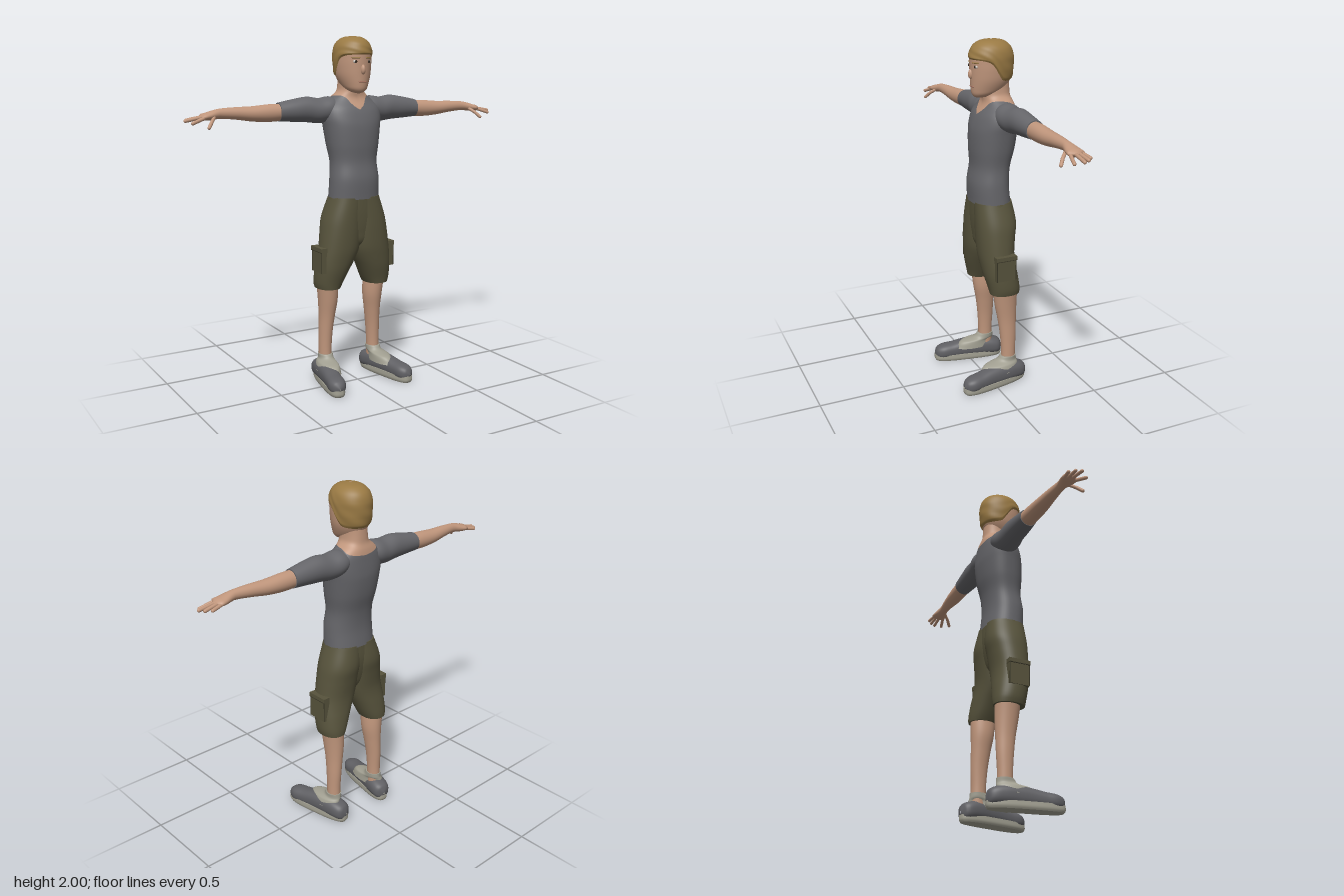
import * as THREE from 'three';

const mat = (name, color) => {
  const m = new THREE.MeshStandardMaterial({ color });
  m.name = name;
  return m;
};

// Smooth lookup in a table of rows [key, value, value...]
function sample(rows, k) {
  let i = 0;
  while (i < rows.length - 2 && k > rows[i + 1][0]) i++;
  const p = rows[i], q = rows[i + 1], h = q[0] - p[0];
  const a = rows[Math.max(i - 1, 0)], b = rows[Math.min(i + 2, rows.length - 1)];
  const s = THREE.MathUtils.clamp((k - p[0]) / h, 0, 1), s2 = s * s, s3 = s2 * s;
  return p.slice(1).map((v, n) => {
    const c = n + 1;
    const m0 = (q[c] - a[c]) / (q[0] - a[0]) * h, m1 = (b[c] - p[c]) / (b[0] - p[0]) * h;
    return (2 * s3 - 3 * s2 + 1) * v + (s3 - 2 * s2 + s) * m0 + (3 * s2 - 2 * s3) * q[c] + (s3 - s2) * m1;
  });
}

// Skin over rows [y, xMin, xMax, zMin, zMax]; lo and hi may depend on the angle from the front (0..PI)
function loft(rows, { lo, hi, n = 2, levels = 28, segs = 48, cap = false, puff } = {}) {
  const at = (f, a, d) => (f === undefined ? d : typeof f === 'function' ? f(a) : f);
  const rings = [];
  for (let j = 0; j <= levels; j++) rings.push([j / levels, 1]);
  if (cap) { rings.unshift([0, 0], [0, 1]); rings.push([1, 1], [1, 0]); }
  const pos = [], idx = [];
  const pow = v => Math.sign(v) * Math.abs(v) ** (2 / n);
  rings.forEach(([s, k], j) => {
    for (let i = 0; i < segs; i++) {
      const t = i / segs * Math.PI * 2, a = Math.min(t, 2 * Math.PI - t);
      const y0 = at(lo, a, rows[0][0]), y1 = at(hi, a, rows[rows.length - 1][0]);
      const y = y0 + (y1 - y0) * s;
      const [xa, xb, za, zb] = sample(rows, y);
      const d = puff ? puff(t, s) : 0;
      pos.push((xa + xb) / 2 + k * ((xb - xa) / 2 + d) * pow(Math.sin(t)), y,
        (za + zb) / 2 + k * ((zb - za) / 2 + d) * pow(Math.cos(t)));
      if (j < rings.length - 1) {
        const e = j * segs + i, f = j * segs + (i + 1) % segs;
        idx.push(e, f, f + segs, e, f + segs, e + segs);
      }
    }
  });
  const g = new THREE.BufferGeometry();
  g.setAttribute('position', new THREE.Float32BufferAttribute(pos, 3));
  g.setIndex(idx);
  g.computeVertexNormals();
  return g;
}

// Lofts running along x (rows [x, yMin, yMax, zMin, zMax]) and along z (rows [z, xMin, xMax, yMin, yMax])
const loftX = (rows, o) => loft(rows.map(([x, a, b, c, d]) => [x, -b, -a, c, d]), o).rotateZ(-Math.PI / 2);
const loftZ = (rows, o) => loft(rows.map(([z, a, b, c, d]) => [z, a, b, -d, -c]), o).rotateX(Math.PI / 2);

// Capsule between two points
function rod(a, b, r) {
  const p = new THREE.Vector3(...a), q = new THREE.Vector3(...b), d = q.clone().sub(p);
  const g = new THREE.CapsuleGeometry(r, d.length(), 5, 12);
  g.applyQuaternion(new THREE.Quaternion().setFromUnitVectors(new THREE.Vector3(0, 1, 0), d.normalize()));
  return g.translate(...p.add(q).multiplyScalar(0.5).toArray());
}

const ball = (x, y, z, rx, ry, rz) => new THREE.SphereGeometry(1, 20, 14).scale(rx, ry, rz).translate(x, y, z);
const sym = rows => rows.map(([y, x, a, b]) => [y, -x, x, a, b]);

function mirrored(g) {
  const m = g.clone().scale(-1, 1, 1), ix = m.index.array;
  for (let i = 0; i < ix.length; i += 3) [ix[i], ix[i + 1]] = [ix[i + 1], ix[i]];
  return m;
}

export function createModel() {
  const model = new THREE.Group();
  const skin = mat('skin', 0xc0967c), shirt = mat('shirt grey', 0x66666a), cloth = mat('olive cloth', 0x57533c);
  const hair = mat('hair', 0x9a7a44), pale = mat('sock and sole', 0xa2a092), shoe = mat('shoe grey', 0x606064);
  const white = mat('eye white', 0xcfc8c0), dark = mat('iris', 0x33291f), lip = mat('lips', 0xa97563);
  const edge = mat('pocket seam', 0x3a3728);

  const add = (name, g, m) => {
    const mesh = new THREE.Mesh(g, m);
    mesh.name = name;
    model.add(mesh);
  };
  const pair = (name, g, m) => {
    add(name + 'Left', g, m);
    add(name + 'Right', mirrored(g), m);
  };

  // Torso and neck share one surface, split along the neckline
  const torso = sym([[1.09, 0.15, -0.16, 0.062], [1.2, 0.146, -0.15, 0.066], [1.3, 0.139, -0.157, 0.052],
    [1.4, 0.155, -0.18, 0.055], [1.5, 0.17, -0.192, 0.051], [1.55, 0.178, -0.191, 0.04], [1.6, 0.172, -0.187, 0.022],
    [1.63, 0.152, -0.184, 0.002], [1.66, 0.115, -0.178, -0.012], [1.69, 0.078, -0.168, -0.01],
    [1.72, 0.068, -0.165, -0.008], [1.8, 0.065, -0.16, -0.012]]);
  const neckline = a => sample([[0, 1.593], [0.5, 1.658], [1.57, 1.67], [2.4, 1.645], [Math.PI, 1.63]], a)[0];
  add('shirtBody', loft(torso, { hi: neckline, n: 2.3, levels: 40 }), shirt);
  add('neck', loft(torso, { lo: neckline, n: 2.3 }), skin);

  // Head and hair share one surface, split along the hairline
  const head = sym([[1.683, 0.004, 0.0, 0.02], [1.69, 0.032, -0.05, 0.038], [1.705, 0.055, -0.09, 0.05],
    [1.73, 0.072, -0.135, 0.055], [1.78, 0.092, -0.17, 0.058], [1.83, 0.1, -0.181, 0.06], [1.87, 0.102, -0.183, 0.061],
    [1.91, 0.101, -0.182, 0.06], [1.95, 0.089, -0.168, 0.046], [1.975, 0.067, -0.143, 0.022],
    [1.99, 0.038, -0.11, -0.012], [1.995, 0.002, -0.063, -0.059]]);
  add('head', loft(head, { levels: 48 }), skin);
  const hairline = a => sample([[0, 1.892], [0.9, 1.888], [1.3, 1.868], [1.6, 1.815], [1.9, 1.775], [Math.PI, 1.765]], a)[0];
  const curls = (t, s) => Math.min(s * 12, 1) * (0.006 + 0.003 * Math.sin(5 * t + 9 * s) * Math.sin(8 * s) * (1 - s));
  add('hair', loft(head, { lo: hairline, levels: 48, puff: curls }).translate(0, 0.004, 0), hair);

  // Face
  add('nose', ball(0, 1.815, 0.058, 0.014, 0.027, 0.017), skin);
  add('mouth', rod([-0.02, 1.748, 0.053], [0.02, 1.748, 0.053], 0.0045), lip);
  pair('eyeWhite', ball(0.041, 1.859, 0.046, 0.015, 0.009, 0.009), white);
  pair('iris', ball(0.041, 1.859, 0.053, 0.007, 0.008, 0.004), dark);
  pair('brow', rod([0.022, 1.879, 0.058], [0.058, 1.88, 0.041], 0.004), hair);

  // Sleeves and arms
  pair('sleeve', loftX([[0.07, 1.57, 1.65, -0.16, -0.04], [0.13, 1.53, 1.666, -0.178, -0.022],
    [0.2, 1.518, 1.658, -0.17, -0.025], [0.27, 1.525, 1.667, -0.165, -0.035], [0.35, 1.53, 1.656, -0.16, -0.04],
    [0.445, 1.536, 1.638, -0.154, -0.05]], { cap: true }), shirt);
  pair('arm', loftX([[0.4, 1.542, 1.632, -0.148, -0.055], [0.5, 1.535, 1.631, -0.147, -0.055],
    [0.6, 1.541, 1.623, -0.141, -0.056], [0.7, 1.555, 1.621, -0.127, -0.06], [0.79, 1.563, 1.616, -0.115, -0.062],
    [0.83, 1.558, 1.608, -0.123, -0.053], [0.865, 1.556, 1.598, -0.131, -0.045], [0.895, 1.56, 1.59, -0.128, -0.047],
    [0.905, 1.573, 1.577, -0.09, -0.085]]), skin);

  // Fingers and thumb
  [[[0.88, 1.573, -0.12], [0.94, 1.562, -0.132]], [[0.885, 1.575, -0.1], [0.967, 1.56, -0.107]],
    [[0.885, 1.575, -0.08], [0.982, 1.558, -0.077]], [[0.88, 1.572, -0.058], [0.955, 1.547, -0.038]],
    [[0.83, 1.573, -0.062], [0.855, 1.55, -0.033]], [[0.855, 1.55, -0.033], [0.878, 1.523, -0.012]]]
    .forEach(([a, b], i) => pair(i < 4 ? 'finger' + (i + 1) : 'thumb' + (i - 3), rod(a, b, 0.0095), skin));

  // Shorts
  add('shortsSeat', loft(sym([[0.77, 0.01, -0.06, -0.04], [0.83, 0.07, -0.12, 0.03], [0.9, 0.13, -0.145, 0.047],
    [1.0, 0.172, -0.16, 0.056], [1.105, 0.148, -0.156, 0.058]]), { n: 2.2 }), cloth);
  pair('shortsLeg', loft([[0.57, 0.09, 0.228, -0.165, 0.01], [0.6, 0.074, 0.236, -0.166, 0.016],
    [0.68, 0.035, 0.236, -0.158, 0.036], [0.74, 0.004, 0.23, -0.15, 0.046], [0.8, -0.02, 0.22, -0.148, 0.054],
    [0.9, -0.035, 0.206, -0.16, 0.059], [0.98, -0.04, 0.191, -0.172, 0.06], [1.1, -0.05, 0.148, -0.157, 0.058]],
  { n: 2.2, cap: true }), cloth);

  // Cargo pockets with seam lines
  const box = (w, h, d, x, y, z) => new THREE.BoxGeometry(w, h, d).translate(x, y, z);
  pair('pocket', box(0.038, 0.14, 0.12, 0.22, 0.742, -0.052), cloth);
  pair('pocketFlap', box(0.04, 0.024, 0.126, 0.223, 0.806, -0.052), cloth);
  pair('flapSeam', box(0.004, 0.004, 0.126, 0.2415, 0.794, -0.052), edge);
  for (const z of [-0.11, 0.006]) pair('pocketSeam', box(0.004, 0.12, 0.004, 0.238, 0.733, z), edge);

  // Legs and socks
  pair('leg', loft([[0.1, 0.127, 0.2, -0.145, -0.06], [0.2, 0.126, 0.2, -0.145, -0.06], [0.3, 0.12, 0.2, -0.15, -0.053],
    [0.4, 0.108, 0.2, -0.152, -0.04], [0.5, 0.095, 0.207, -0.155, -0.022], [0.62, 0.1, 0.22, -0.155, -0.01]]), skin);
  pair('sock', loft([[0.08, 0.122, 0.24, -0.16, 0.085], [0.122, 0.124, 0.225, -0.155, 0.05],
    [0.138, 0.122, 0.207, -0.152, -0.025], [0.165, 0.121, 0.205, -0.15, -0.054]], { cap: true }), pale);

  // Shoes, toes turned outwards
  const place = g => g.rotateY(0.185).translate(0.195, 0, 0);
  pair('shoe', place(loftZ([[-0.212, -0.003, 0.003, 0.045, 0.06], [-0.205, -0.03, 0.03, 0.022, 0.09],
    [-0.18, -0.051, 0.051, 0.012, 0.11], [-0.12, -0.057, 0.057, 0.012, 0.126], [-0.03, -0.053, 0.053, 0.012, 0.127],
    [0.04, -0.05, 0.05, 0.012, 0.118], [0.1, -0.05, 0.05, 0.012, 0.106], [0.16, -0.05, 0.05, 0.012, 0.098],
    [0.195, -0.034, 0.034, 0.018, 0.084], [0.207, -0.018, 0.018, 0.03, 0.068], [0.211, -0.002, 0.002, 0.045, 0.052]],
  { n: 2.4, levels: 48 })), shoe);
  pair('sole', place(loft(sym([[0, 0.047, -0.203, 0.203], [0.012, 0.053, -0.21, 0.211], [0.04, 0.053, -0.21, 0.211]]),
    { n: 3, levels: 6, cap: true })), pale);

  return model;
}
